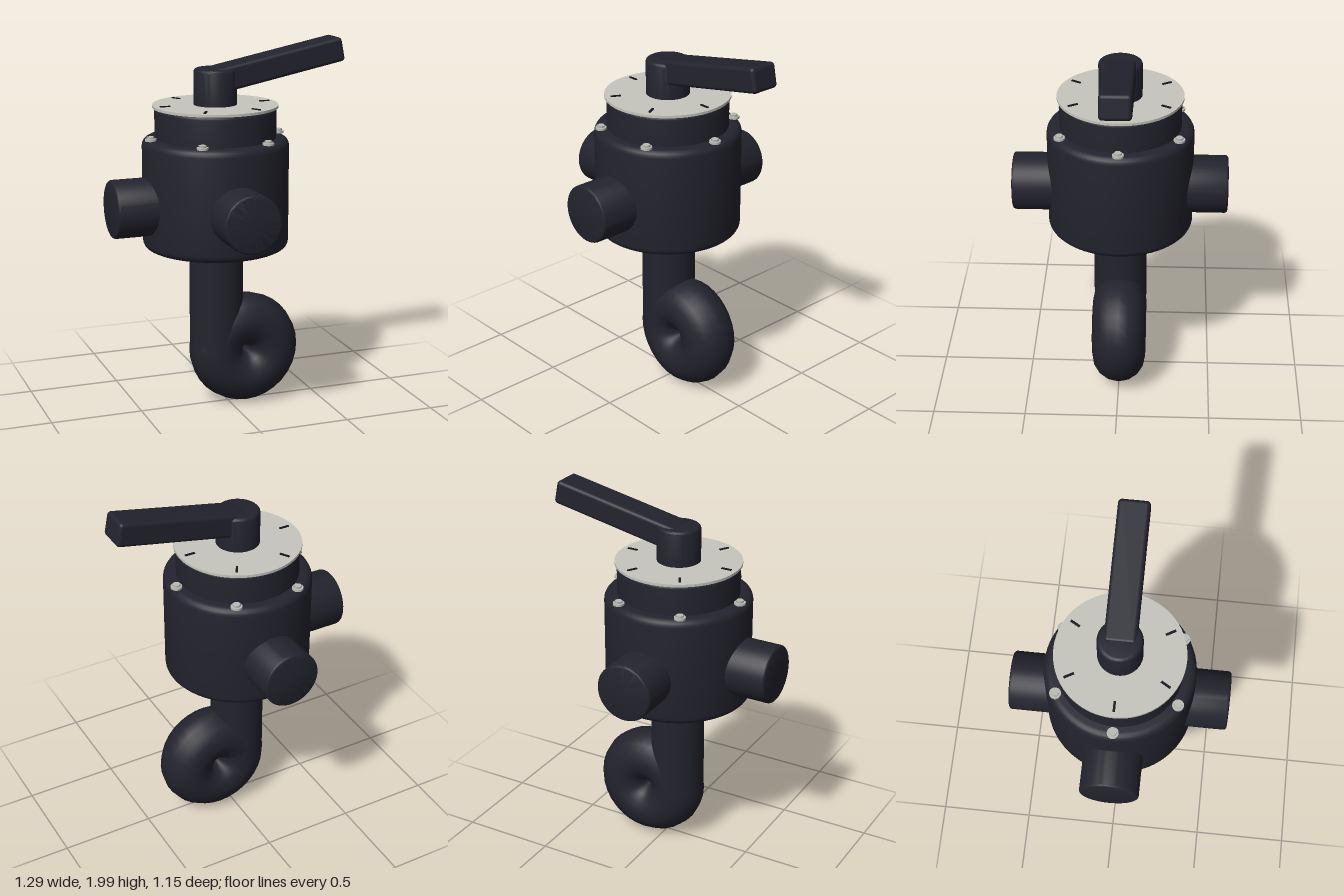
import * as THREE from 'three';
import { toCreasedNormals } from 'three/addons/utils/BufferGeometryUtils.js';
import { RoundedBoxGeometry } from 'three/addons/geometries/RoundedBoxGeometry.js';

const AXIS_X = -0.07; // vertical axis of the valve

// Solid of revolution from y0 to y1 with rounded rims (bottom radius b, top radius t)
function roundedDrum(r, y0, y1, b, t, segments = 48) {
  const points = [new THREE.Vector2(0, y0)];
  const arc = (cy, rad, from) => {
    const steps = rad > 0 ? 5 : 0;
    for (let i = 0; i <= steps; i++) {
      const a = from + (steps ? (i / steps) * Math.PI / 2 : 0);
      points.push(new THREE.Vector2(r - rad + rad * Math.cos(a), cy + rad * Math.sin(a)));
    }
  };
  arc(y0 + b, b, -Math.PI / 2);
  arc(y1 - t, t, 0);
  points.push(new THREE.Vector2(0, y1));
  return toCreasedNormals(new THREE.LatheGeometry(points, segments), 0.6);
}

export function createModel() {
  const model = new THREE.Group();
  model.name = 'multiportValve';
  const plastic = new THREE.MeshStandardMaterial({ color: 0x23232e });
  plastic.name = 'dark plastic';
  const plate = new THREE.MeshStandardMaterial({ color: 0xc6c6be });
  plate.name = 'pale dial';
  const steel = new THREE.MeshStandardMaterial({ color: 0xbcbcb6 });
  steel.name = 'bolt steel';
  const ink = new THREE.MeshStandardMaterial({ color: 0x15151c });
  ink.name = 'dial marking';

  const add = (name, geometry, material, x = 0, y = 0, z = 0, parent = model) => {
    const mesh = new THREE.Mesh(geometry, material);
    mesh.name = name;
    mesh.position.set(x, y, z);
    parent.add(mesh);
    return mesh;
  };

  // Parts sharing the vertical axis
  const valve = new THREE.Group();
  valve.name = 'valve';
  valve.position.x = AXIS_X;
  model.add(valve);
  add('body', roundedDrum(0.39, 0.9, 1.495, 0.04, 0.04, 64), plastic, 0, 0, 0, valve);
  add('lid', roundedDrum(0.322, 1.48, 1.658, 0, 0.02, 64), plastic, 0, 0, 0, valve);
  add('dial', new THREE.CylinderGeometry(0.333, 0.333, 0.014, 64), plate, 0, 1.662, 0, valve);
  add('handleHub', roundedDrum(0.115, 1.66, 1.86, 0, 0.02), plastic, 0, 0, 0, valve);

  // Three side ports: front, back and right
  const portGeometry = roundedDrum(0.155, 0, 1, 0, 0.015);
  for (const [name, reach, angle] of [['frontPort', 0.575, 0], ['backPort', 0.575, Math.PI], ['rightPort', 0.58, -Math.PI / 2]]) {
    const port = new THREE.Group();
    port.name = name;
    port.position.y = 1.145;
    port.rotation.y = angle;
    valve.add(port);
    const geometry = name === 'frontPort' ? portGeometry : portGeometry.clone();
    geometry.dispose();
    const pipe = add(name + 'Pipe', roundedDrum(0.155, 0.2, reach, 0, 0.015), plastic, 0, 0, 0, port);
    pipe.rotation.x = Math.PI / 2;
  }

  // Six bolts around the shoulder and six marks on the dial
  for (let i = 0; i < 6; i++) {
    const spoke = new THREE.Group();
    spoke.name = 'spoke' + (i + 1);
    spoke.rotation.y = i * Math.PI / 3;
    valve.add(spoke);
    add('washer', new THREE.CylinderGeometry(0.03, 0.03, 0.012, 20), steel, 0.358, 1.5, 0, spoke);
    add('boltHead', new THREE.CylinderGeometry(0.021, 0.021, 0.022, 6).toNonIndexed(), steel, 0.358, 1.506, 0, spoke);
    add('dialMark', new THREE.BoxGeometry(0.055, 0.006, 0.012), ink, 0.277, 1.671, 0, spoke);
  }

  // Tilted lever
  const lever = add('lever', new RoundedBoxGeometry(0.72, 0.13, 0.162, 4, 0.02), plastic, 0.278, 1.868, 0);
  lever.rotation.z = Math.atan(0.2);

  // Down pipe and its curled trap
  add('downPipe', new THREE.CylinderGeometry(0.145, 0.145, 0.61, 32, 1, true), plastic, AXIS_X + 0.003, 0.615, 0);
  add('trapLoop', new THREE.TorusGeometry(0.16, 0.146, 16, 32), plastic, 0.09, 0.31, 0);

  return model;
}
